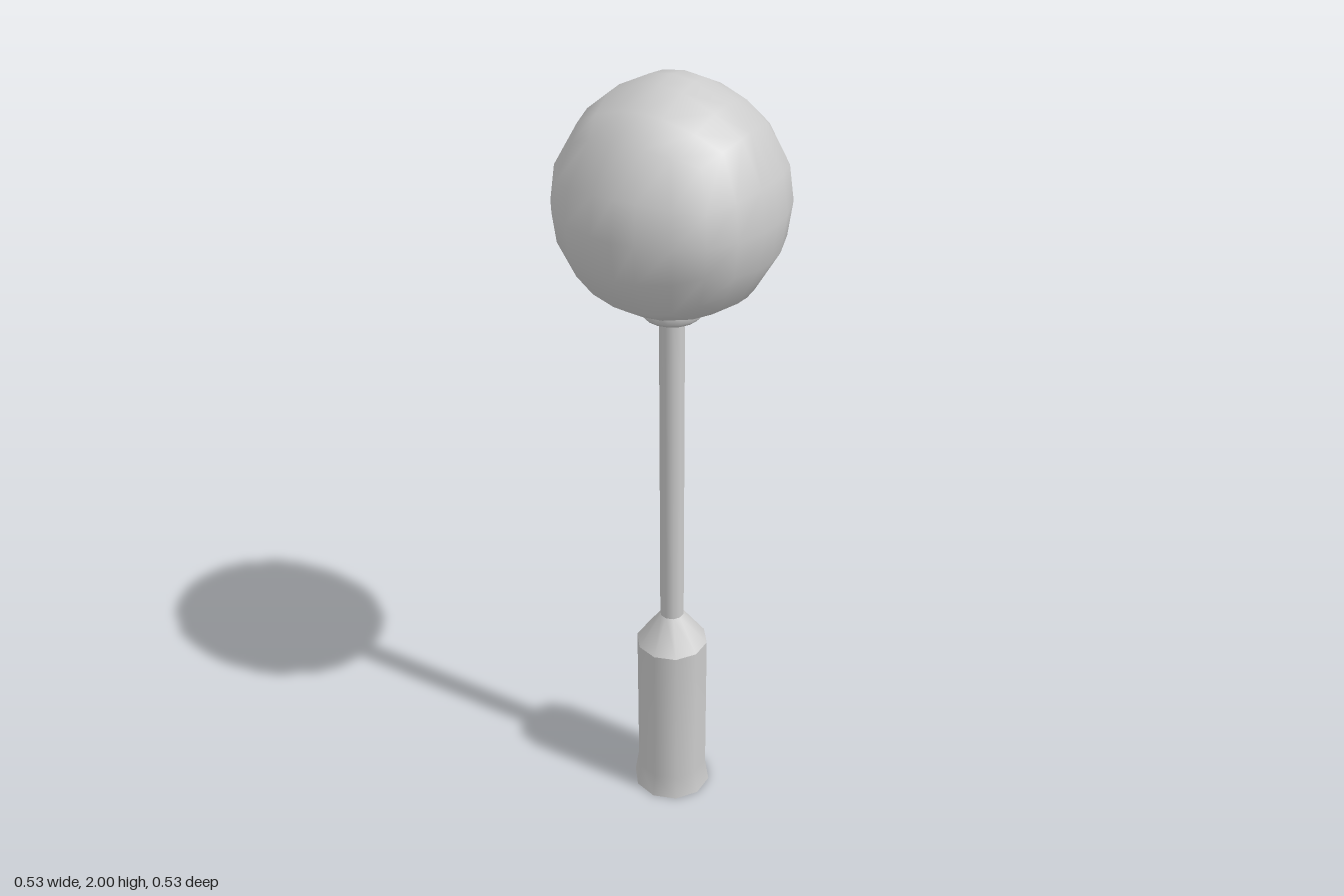
import * as THREE from 'three';
import { mergeVertices } from 'three/addons/utils/BufferGeometryUtils.js';

const SIDES = 10;
const CENTRE_Y = 1.71;

const grey = new THREE.MeshStandardMaterial({ color: 0xcccccc, side: THREE.DoubleSide });

// Turned part from [radius, height] pairs, bottom to top
function turned(name, profile, sides = SIDES) {
  const points = profile.map(([r, y]) => new THREE.Vector2(r, y));
  const mesh = new THREE.Mesh(new THREE.LatheGeometry(points, sides), grey);
  mesh.name = name;
  return mesh;
}

// Globe: a subdivided cube rounded into a slightly boxy ball with a peaked top
function globe() {
  let geometry = new THREE.BoxGeometry(2, 2, 2, 6, 4, 6);
  geometry.deleteAttribute('uv');
  geometry.deleteAttribute('normal');
  geometry = mergeVertices(geometry);
  const pos = geometry.attributes.position;
  const spread = (t) => Math.sign(t) * Math.abs(t) ** 1.42;
  const d = new THREE.Vector3();
  for (let i = 0; i < pos.count; i++) {
    d.fromBufferAttribute(pos, i);
    d.set(spread(d.x), spread(d.y), spread(d.z)).normalize();
    const x2 = d.x * d.x, y2 = d.y * d.y, z2 = d.z * d.z;
    const radius = 0.264 + 0.01 * Math.min(1, 4 * (x2 * y2 + y2 * z2 + z2 * x2));
    const pole = Math.max(0, 2 * y2 - 1) ** 2;
    const lift = pole * (d.y > 0 ? 0.026 : 0.014);
    pos.setXYZ(i, d.x * radius, CENTRE_Y + d.y * radius + lift, d.z * radius);
  }
  geometry.computeVertexNormals();
  const mesh = new THREE.Mesh(geometry, grey);
  mesh.name = 'globe';
  return mesh;
}

export function createModel() {
  const group = new THREE.Group();
  group.name = 'globeLampPost';
  group.add(
    // Hollow base with a flared foot
    turned('base', [[0.103, 0], [0.093, 0.065], [0.093, 0.475]]),
    // Cone between base and pole
    turned('shoulder', [[0.093, 0.475], [0.031, 0.56]]),
    turned('pole', [[0.031, 0.56], [0.031, 1.47]]),
    // Cup that holds the globe
    turned('collar', [[0.03, 1.425], [0.066, 1.425], [0.075, 1.435], [0.079, 1.455], [0.07, 1.475]], 16),
    globe()
  );
  return group;
}
